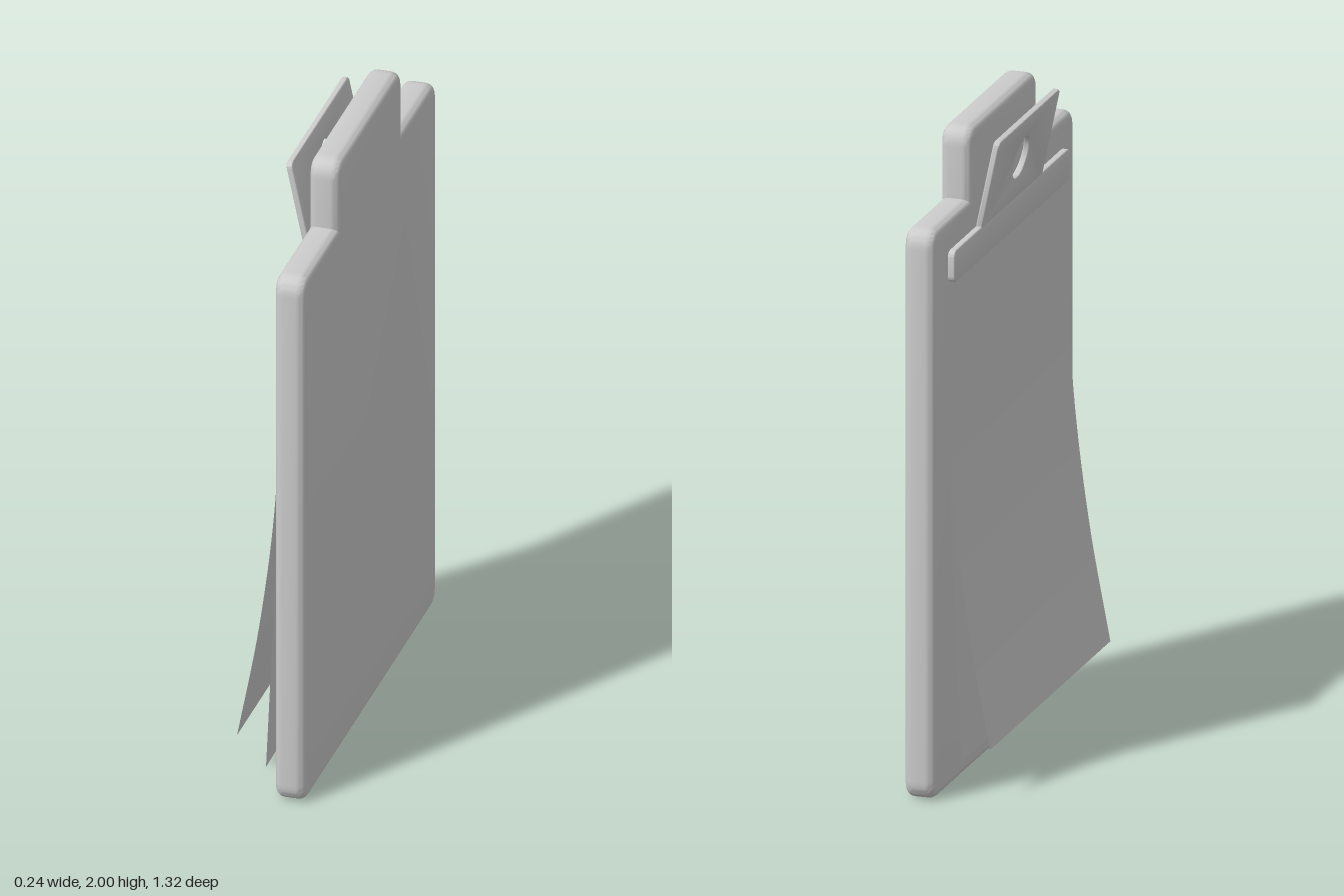
import * as THREE from 'three';
import { toCreasedNormals } from 'three/addons/utils/BufferGeometryUtils.js';

const material = new THREE.MeshStandardMaterial({ color: 0xcccccc });
const sheetMaterial = new THREE.MeshStandardMaterial({ color: 0xcccccc, side: THREE.DoubleSide });

// Closed outline from [z, y, cornerRadius] points
function outline(points) {
  const shape = new THREE.Shape();
  const n = points.length;
  points.forEach(([x, y, r], i) => {
    const p = new THREE.Vector2(x, y);
    const toward = ([a, b]) => new THREE.Vector2(a, b).sub(p).setLength(r).add(p);
    const a = toward(points[(i + n - 1) % n]);
    const b = toward(points[(i + 1) % n]);
    if (i === 0) shape.moveTo(a.x, a.y);
    else shape.lineTo(a.x, a.y);
    if (r > 0) shape.quadraticCurveTo(x, y, b.x, b.y);
  });
  shape.closePath();
  return shape;
}

const rectangle = (z0, z1, y0, y1, r) =>
  outline([[z0, y0, r], [z1, y0, r], [z1, y1, r], [z0, y1, r]]);

// Plate lying in the zy plane, centred on x = 0, with rounded rims
function plate(name, shape, thickness, bevel) {
  const geometry = new THREE.ExtrudeGeometry(shape, {
    depth: thickness - 2 * bevel, bevelEnabled: true, bevelSize: bevel,
    bevelThickness: bevel, bevelOffset: -bevel, bevelSegments: 4, curveSegments: 10,
  });
  geometry.translate(0, 0, bevel - thickness / 2);
  geometry.rotateY(-Math.PI / 2);
  const mesh = new THREE.Mesh(toCreasedNormals(geometry, 0.7), material);
  mesh.name = name;
  return mesh;
}

// Thin sheet hanging along an [x, y] curve; skew slides and tilts its lower end
function sheet(name, profile, halfWidth, skew) {
  const curve = new THREE.CatmullRomCurve3(profile.map(([x, y]) => new THREE.Vector3(x, y, 0)));
  const top = profile[0][1];
  const geometry = new THREE.PlaneGeometry(1, 1, 1, 32);
  const pos = geometry.attributes.position;
  for (let i = 0; i < pos.count; i++) {
    const p = curve.getPoint(0.5 - pos.getY(i));
    const z = pos.getX(i) * 2 * halfWidth;
    pos.setXYZ(i, p.x, p.y - skew * z, z + skew * (top - p.y));
  }
  geometry.computeVertexNormals();
  const mesh = new THREE.Mesh(geometry, sheetMaterial);
  mesh.name = name;
  return mesh;
}

export function createModel() {
  const model = new THREE.Group();
  model.name = 'clipboard';

  // Backing board with a raised tab at the top
  const half = [[0.66, 0, 0.06], [0.66, 1.78, 0.06], [0.318, 1.78, 0], [0.318, 2, 0.06]];
  const mirrored = half.map(([z, y, r]) => [-z, y, r]).reverse();
  const board = plate('board', outline([...half, ...mirrored]), 0.094, 0.026);
  board.position.x = 0.072;
  model.add(board);

  // Two sheets of paper: the upper one curls away, the lower one sits askew
  model.add(sheet('upperSheet',
    [[0.02, 1.72], [0.018, 1.45], [0.012, 1.19], [-0.01, 0.86], [-0.056, 0.5], [-0.12, 0.15]], 0.562, 0));
  model.add(sheet('lowerSheet',
    [[0.023, 1.72], [0.021, 1.45], [0.014, 1.1], [0, 0.6], [-0.02, 0.085]], 0.562, 0.019));

  // Clip: clamping bar and tilted lever with a hanging hole
  const clip = new THREE.Group();
  clip.name = 'clip';
  const bar = plate('clampBar', rectangle(-0.545, 0.535, 1.59, 1.69, 0.025), 0.022, 0.005);
  bar.position.x = 0.008;
  clip.add(bar);

  const leverShape = rectangle(-0.288, 0.28, 0, 0.29, 0.02);
  leverShape.holes.push(new THREE.Path().absarc(-0.004, 0.155, 0.066, 0, Math.PI * 2, true));
  const lever = plate('lever', leverShape, 0.02, 0.005);
  lever.position.set(0.01, 1.675, 0);
  lever.rotation.z = 0.205;
  clip.add(lever);
  model.add(clip);

  return model;
}
